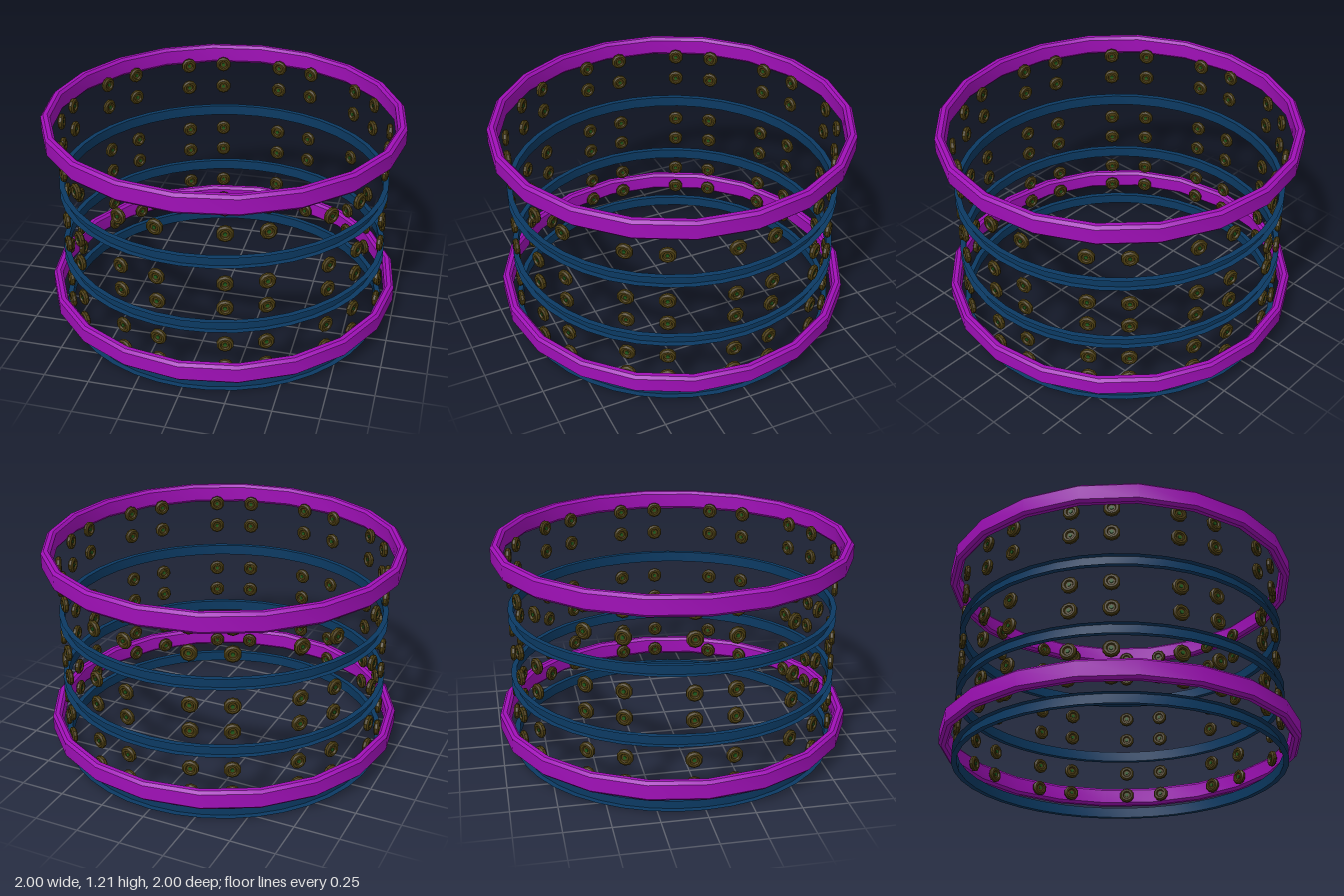
import * as THREE from 'three';
import { toCreasedNormals } from 'three/addons/utils/BufferGeometryUtils.js';

// Revolve a list of [radius, height] points, keeping profile corners sharp
function turned(points, segments) {
  const profile = points.map(([r, y]) => new THREE.Vector2(r, y));
  return toCreasedNormals(new THREE.LatheGeometry(profile, segments), 0.6);
}

export function createModel() {
  const model = new THREE.Group();
  model.name = 'ringCage';
  const purple = new THREE.MeshStandardMaterial({ color: 0xa010b8 });
  const blue = new THREE.MeshStandardMaterial({ color: 0x0b3a63, side: THREE.DoubleSide });
  const bronze = new THREE.MeshStandardMaterial({ color: 0x4a3c10 });
  const green = new THREE.MeshStandardMaterial({ color: 0x1f5a1c });

  // Two heavy twenty-sided hoops with chamfered edges
  const hoopGeometry = turned([
    [0.985, -0.055], [1, -0.04], [1, 0.04], [0.985, 0.055],
    [0.962, 0.055], [0.948, 0.04], [0.948, -0.04], [0.962, -0.055], [0.985, -0.055],
  ], 20);
  [['lowerHoop', 0.152], ['upperHoop', 1.152]].forEach(([name, y]) => {
    const hoop = new THREE.Mesh(hoopGeometry, purple);
    hoop.name = name;
    hoop.position.y = y;
    model.add(hoop);
  });

  // Three thin channel rings, open towards the outside
  const channelGeometry = turned([[0.925, 0.03], [0.895, 0.03], [0.895, -0.03], [0.925, -0.03]], 40);
  [0.03, 0.403, 0.792].forEach((y, i) => {
    const ring = new THREE.Mesh(channelGeometry, blue);
    ring.name = `channelRing${i + 1}`;
    ring.position.y = y;
    model.add(ring);
  });

  // Small wheel with a recessed face on both sides and a green hub
  const wheelGeometry = turned([
    [0, -0.006], [0.02, -0.006], [0.025, -0.015], [0.036, -0.015], [0.045, -0.007],
    [0.045, 0.007], [0.036, 0.015], [0.025, 0.015], [0.02, 0.006], [0, 0.006],
  ], 10).rotateX(Math.PI / 2);
  const hubGeometry = new THREE.CylinderGeometry(0.01, 0.01, 0.022, 8).rotateX(Math.PI / 2);

  // Six rows of wheels, ten pairs in each row, all facing the axis
  [0.147, 0.292, 0.518, 0.665, 0.955, 1.1].forEach((y, i) => {
    const row = new THREE.Group();
    row.name = `wheelRow${i + 1}`;
    row.position.y = y;
    for (let k = 0; k < 10; k++) {
      for (const offset of [-8.2, 14.2]) {
        const angle = THREE.MathUtils.degToRad(36 * k + offset);
        const wheel = new THREE.Group();
        wheel.name = 'wheel';
        const rim = new THREE.Mesh(wheelGeometry, bronze);
        rim.name = 'wheelRim';
        const hub = new THREE.Mesh(hubGeometry, green);
        hub.name = 'wheelHub';
        wheel.add(rim, hub);
        wheel.position.set(0.908 * Math.sin(angle), 0, 0.908 * Math.cos(angle));
        wheel.rotation.y = angle;
        row.add(wheel);
      }
    }
    model.add(row);
  });
  return model;
}
